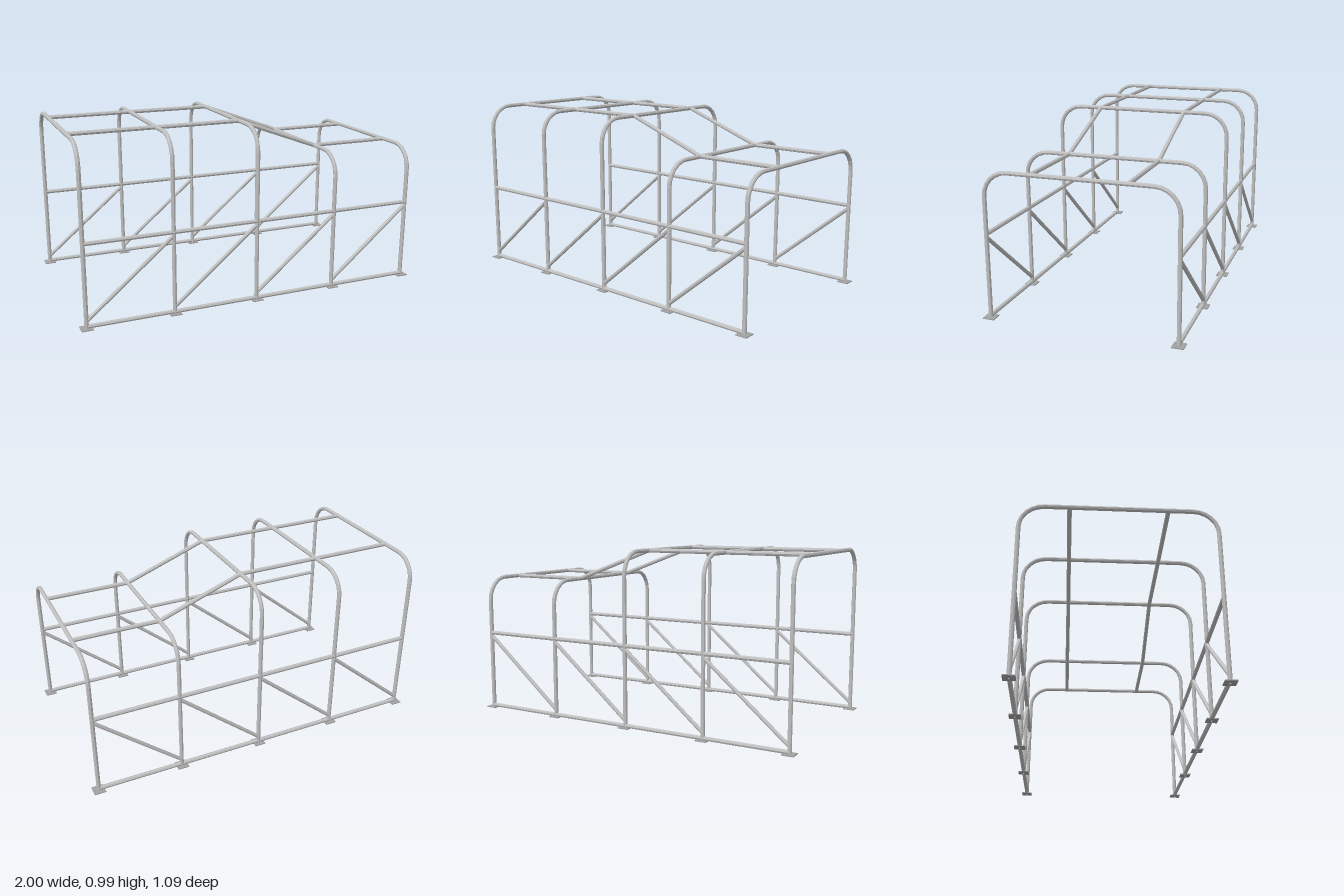
import * as THREE from 'three';

const TUBE = 0.012, SIDES = 8;
const HALF_WIDTH = 0.515, BEND = 0.13;
const HOOP_X = [-0.968, -0.484, 0, 0.484, 0.968];
const HOOP_TOP = [0.982, 0.982, 0.982, 0.802, 0.802];

export function createModel() {
  const model = new THREE.Group();
  model.name = 'tubularFrame';
  const makeSteel = (name, color) => {
    const material = new THREE.MeshStandardMaterial({ color, flatShading: true });
    material.name = name;
    return material;
  };
  const tubeSteel = makeSteel('light grey tube steel', 0xc0c0c0);
  const plateSteel = makeSteel('grey plate steel', 0xa2a2a2);

  const add = (parent, name, geometry, material = tubeSteel) => {
    const mesh = new THREE.Mesh(geometry, material);
    mesh.name = name;
    parent.add(mesh);
    return mesh;
  };

  // Straight tube between two points
  const pipe = (parent, name, from, to, radius = TUBE) => {
    const a = new THREE.Vector3(...from), b = new THREE.Vector3(...to);
    const dir = b.clone().sub(a);
    const mesh = add(parent, name, new THREE.CylinderGeometry(radius, radius, dir.length(), SIDES));
    mesh.position.copy(a).add(b).multiplyScalar(0.5);
    mesh.quaternion.setFromUnitVectors(new THREE.Vector3(0, 1, 0), dir.normalize());
    return mesh;
  };

  // Hoops: two legs, two bends, a top bar and a foot plate under each leg
  HOOP_X.forEach((x, i) => {
    const hoop = new THREE.Group();
    hoop.name = 'hoop' + (i + 1);
    model.add(hoop);
    const top = HOOP_TOP[i], inner = HALF_WIDTH - BEND;
    pipe(hoop, 'topBar', [x, top, -inner], [x, top, inner]);
    for (const s of [-1, 1]) {
      const z = s * HALF_WIDTH;
      pipe(hoop, 'leg', [x, 0.012, z], [x, top - BEND, z]);
      const bend = add(hoop, 'bend', new THREE.TorusGeometry(BEND, TUBE, SIDES, 6, Math.PI / 2));
      bend.rotation.y = -s * Math.PI / 2;
      bend.position.set(x, top - BEND, s * inner);
      add(hoop, 'footPlate', new THREE.BoxGeometry(0.064, 0.005, 0.064), plateSteel).position.set(x, 0.008, z);
      pipe(hoop, 'footPin', [x, 0, z], [x, 0.012, z], 0.004);
    }
  });

  // Side and roof members, same on both sides
  const last = HOOP_X.length - 1;
  for (const s of [-1, 1]) {
    const side = new THREE.Group();
    side.name = s > 0 ? 'frontSide' : 'backSide';
    model.add(side);
    const z = s * HALF_WIDTH, roofZ = s * 0.257;
    pipe(side, 'baseRail', [HOOP_X[0], 0.018, z], [HOOP_X[last], 0.018, z]);
    pipe(side, 'middleRail', [HOOP_X[0], 0.47, z], [HOOP_X[last], 0.47, z]);
    for (let i = 0; i < last; i++) {
      pipe(side, 'roofRail', [HOOP_X[i], HOOP_TOP[i], roofZ], [HOOP_X[i + 1], HOOP_TOP[i + 1], roofZ]);
      pipe(side, 'diagonalBrace', [HOOP_X[i], 0.047, z], [HOOP_X[i + 1], 0.452, z], 0.011);
    }
  }
  return model;
}
